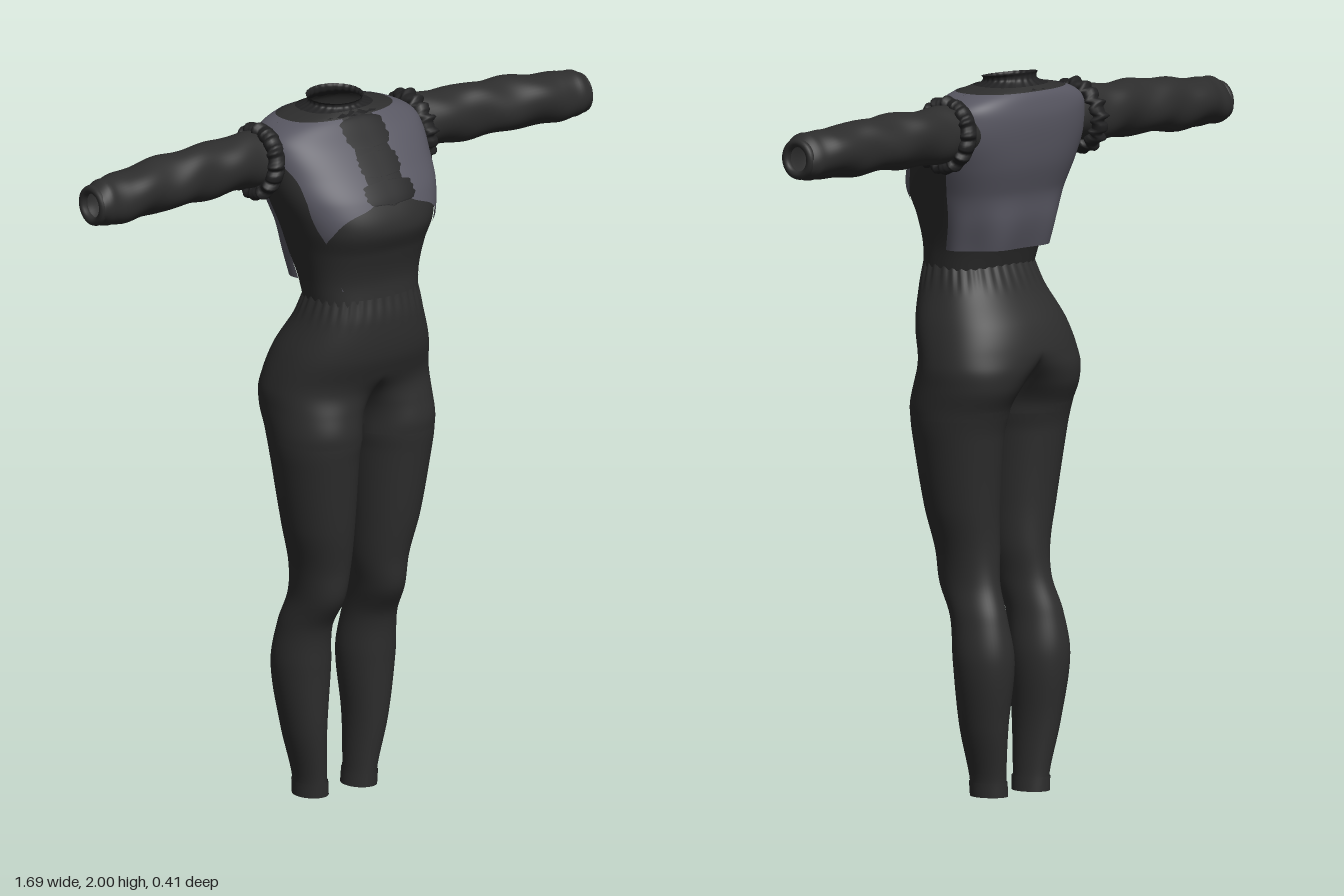
import * as THREE from 'three';
import { mergeVertices } from 'three/addons/utils/BufferGeometryUtils.js';

const fabric = (name, color) => {
  const m = new THREE.MeshStandardMaterial({ color, side: THREE.DoubleSide });
  m.name = name;
  return m;
};
const { sin, cos, abs, PI, sign, pow } = Math;
const TAU = PI * 2;
const smooth = THREE.MathUtils.smoothstep;

// Cubic interpolation through table rows of the form [key, ...values]
function sample(table, k) {
  const n = table.length - 1;
  let i = 0;
  while (i < n - 1 && k > table[i + 1][0]) i++;
  const a = table[i], b = table[i + 1], p = table[Math.max(i - 1, 0)], q = table[Math.min(i + 2, n)];
  const h = b[0] - a[0], s = THREE.MathUtils.clamp((k - a[0]) / h, 0, 1);
  return a.slice(1).map((v, j) => {
    const c = j + 1;
    const m0 = (b[c] - p[c]) / (b[0] - p[0]) * h, m1 = (q[c] - a[c]) / (q[0] - a[0]) * h;
    const s2 = s * s, s3 = s2 * s;
    return v * (2 * s3 - 3 * s2 + 1) + m0 * (s3 - 2 * s2 + s) + b[c] * (3 * s2 - 2 * s3) + m1 * (s3 - s2);
  });
}

// Surface from f(u, v) -> [x, y, z], with u and v in 0..1
function surface(nu, nv, f, keep = () => true) {
  const pos = [], idx = [];
  for (let j = 0; j <= nv; j++) for (let i = 0; i <= nu; i++) pos.push(...f(i / nu, j / nv));
  for (let j = 0; j < nv; j++) for (let i = 0; i < nu; i++) {
    const a = j * (nu + 1) + i, b = a + nu + 1;
    if (keep(pos[a * 3], pos[a * 3 + 1], pos[a * 3 + 2])) idx.push(a, b, a + 1, b, b + 1, a + 1);
  }
  let g = new THREE.BufferGeometry();
  g.setAttribute('position', new THREE.Float32BufferAttribute(pos, 3));
  g.setIndex(idx);
  g = mergeVertices(g, 1e-5);
  g.computeVertexNormals();
  return g;
}

// Bodice: y, half width, front z, back z, middle z
const TORSO = [
  [1.45, 0.163, 0.163, -0.075, 0.04], [1.52, 0.172, 0.16, -0.1, 0.03], [1.6, 0.192, 0.18, -0.135, 0.01],
  [1.67, 0.213, 0.205, -0.155, 0], [1.75, 0.238, 0.178, -0.18, -0.02], [1.82, 0.25, 0.13, -0.192, -0.05],
  [1.88, 0.25, 0.085, -0.196, -0.06], [1.92, 0.235, 0.05, -0.19, -0.07], [1.95, 0.18, 0.025, -0.178, -0.075],
  [1.965, 0.11, 0.005, -0.16, -0.075],
];
const N = 2.5;
function torsoPoint(t, y, off = 0) {
  const [hw, zf, zb, zc] = sample(TORSO, y), c = cos(t), s = sin(t);
  const x = hw * sign(c) * pow(abs(c), 2 / N);
  const z = zc + (s > 0 ? zf - zc : zc - zb) * sign(s) * pow(abs(s), 2 / N);
  return [x + off * c, y, z + off * s];
}
// Angle on the bodice front at which x is reached
const angleAtX = (x, y) => Math.acos(pow(Math.min(1, x / sample(TORSO, y)[0]), N / 2));
const outsideArmhole = (x, y, z) => abs(x) < 0.14 || Math.hypot(y - 1.85, z + 0.08) > 0.06;

// Vest front: y, x of the centre edge, angle of the side edge in degrees
const VEST = [
  [1.5, 0.125, 45], [1.56, 0.158, 41], [1.62, 0.18, 36], [1.68, 0.168, 28], [1.715, 0.135, 27], [1.74, 0.07, 28],
  [1.76, 0.052, 29], [1.82, 0.05, 28], [1.87, 0.05, 13], [1.91, 0.05, 0], [1.953, 0.05, 0],
];

// Hips: y, half width, front z, back z
const HIPS = [
  [1.04, 0.249, 0.14, -0.142], [1.08, 0.251, 0.143, -0.155], [1.14, 0.252, 0.138, -0.188], [1.2, 0.25, 0.136, -0.2],
  [1.3, 0.225, 0.168, -0.175], [1.4, 0.185, 0.175, -0.112], [1.47, 0.163, 0.165, -0.078],
];
function hipPoint(u, v) {
  const y = 1.05 + 0.42 * v, t = u * TAU;
  const [hw, zf, zb] = sample(HIPS, y);
  const x = hw * cos(t), d = (zf - zb) / 2;
  const whole = pow(1 - pow(abs(x / hw), 2.3), 1 / 2.3);
  const half = hw / 2;
  const split = Math.sqrt(Math.max(0, 1 - pow((abs(x) - half) / half, 2)));
  const k = smooth(y, 1.07, 1.24);
  const gather = 1 + 0.014 * smooth(y, 1.38, 1.46) * sin(t * 34);
  const h = (whole * k + split * (1 - k)) * d * gather;
  return [x * gather, y, (zf + zb) / 2 + sign(sin(t)) * (abs(sin(t)) < 1e-6 ? 0 : h)];
}

// Leg: y, inner x, outer x, front z, back z
const LEG = [
  [0.005, 0.04, 0.127, -0.02, -0.128], [0.06, 0.045, 0.13, -0.016, -0.13], [0.2, 0.048, 0.163, 0, -0.15],
  [0.38, 0.033, 0.19, 0.01, -0.17], [0.5, 0.043, 0.18, 0.025, -0.148], [0.59, 0.037, 0.17, 0.075, -0.117],
  [0.68, 0.023, 0.178, 0.088, -0.108], [0.8, 0.018, 0.208, 0.11, -0.112], [1, 0.01, 0.243, 0.135, -0.133],
  [1.04, 0.004, 0.248, 0.14, -0.142], [1.09, 0, 0.251, 0.142, -0.158],
];
const legPoint = (y0, y1, off) => (u, v) => {
  const y = y0 + (y1 - y0) * v, t = u * TAU;
  const [xi, xo, zf, zb] = sample(LEG, y);
  return [(xi + xo) / 2 + ((xo - xi) / 2 + off) * cos(t), y, (zf + zb) / 2 + ((zf - zb) / 2 + off) * sin(t)];
};

// Sleeve: x, middle y, half height, middle z, half depth
const SLEEVE = [
  [0.2, 1.85, 0.07, -0.085, 0.068], [0.3, 1.853, 0.077, -0.087, 0.07], [0.45, 1.853, 0.077, -0.082, 0.072],
  [0.6, 1.85, 0.074, -0.073, 0.075], [0.74, 1.845, 0.069, -0.064, 0.074], [0.785, 1.843, 0.062, -0.06, 0.069],
  [0.81, 1.842, 0.063, -0.058, 0.067], [0.835, 1.84, 0.052, -0.058, 0.056],
];

export function createModel() {
  const model = new THREE.Group();
  const cloth = fabric('black cloth', 0x2d2d2d);
  const trim = fabric('dark trim', 0x212122);
  const vest = fabric('grey vest cloth', 0x585762);
  const add = (name, geometry, material) => {
    const mesh = new THREE.Mesh(geometry, material);
    mesh.name = name;
    model.add(mesh);
    return mesh;
  };

  // Bodice and hips
  add('bodice', surface(120, 64, (u, v) => torsoPoint(u * TAU, 1.45 + 0.515 * v), outsideArmhole), cloth);
  add('hips', surface(160, 50, hipPoint), cloth);

  // Vest back, loose at its hem
  add('vestBack', surface(80, 60, (u, v) => {
    const y = 1.515 + 0.438 * v;
    const a = PI / 18 * (1 - smooth(y, 1.8, 1.91));
    const t = PI + a + (PI - 2 * a) * u;
    const loose = 1 - smooth(y, 1.5, 1.68);
    return torsoPoint(t, y, 0.006 + loose * (0.03 * abs(sin(t)) + 0.006 * sin(u * 22)));
  }, outsideArmhole), vest);

  for (const side of [1, -1]) {
    const word = side > 0 ? 'left' : 'right';
    const flip = (f) => (u, v) => {
      const [x, y, z] = f(side > 0 ? u : 1 - u, v);
      return [x * side, y, z];
    };

    // Vest front with a curved edge above the bib
    add(word + 'VestFront', surface(40, 80, flip((u, v) => {
      const y = 1.5 + 0.453 * v;
      const [x, deg] = sample(VEST, y);
      const t0 = Math.max(0, deg) * PI / 180, t1 = Math.max(t0, angleAtX(x, y));
      return torsoPoint(t0 + (t1 - t0) * u, y, 0.006);
    }), outsideArmhole), vest);

    // Legs with ankle bands
    add(word + 'Leg', surface(48, 80, flip(legPoint(0.005, 1.08, 0))), cloth);
    add(word + 'AnkleBand', surface(48, 4, flip(legPoint(0.005, 0.045, 0.003))), cloth);

    // Sleeve with soft folds; the right one hangs a little lower and further back
    const sag = (x) => (side > 0 ? 0 : smooth(x, 0.3, 0.8));
    add(word + 'Sleeve', surface(48, 80, flip((u, v) => {
      const x = 0.2 + 0.635 * v, t = -u * TAU;
      const [yc, ry, zc, rz] = sample(SLEEVE, x);
      const fold = 0.003 * sin(x * 38 + 2 * t) + 0.002 * sin(x * 23 - 3 * t);
      return [x, yc - 0.01 * sag(x) + (ry + fold) * sin(t), zc - 0.018 * sag(x) + (rz + fold) * cos(t)];
    })), cloth);

    // Rolled cuff edge
    const cuff = add(word + 'Cuff', new THREE.TorusGeometry(0.045, 0.012, 10, 40), cloth);
    cuff.rotation.y = PI / 2;
    cuff.position.set(side * 0.832, 1.84 - 0.01 * sag(0.83), -0.058 - 0.018 * sag(0.83));

    // Gathered ruffle around the armhole
    add(word + 'ShoulderRuffle', surface(120, 14, flip((u, v) => {
      const a = -u * TAU, b = v * TAU;
      const wave = sin(a * 17) + 0.5 * sin(a * 29);
      const r = 0.084 + 0.004 * wave + 0.02 * cos(b);
      return [0.262 + 0.026 * sin(b) + 0.005 * wave - 0.01 * sin(a), 1.848 + r * sin(a), -0.078 + r * cos(a)];
    })), trim);
  }

  // Dark front strip between the vest edges
  const frontPlate = (name, y0, y1, width, off) => add(name, surface(24, 20, (u, v) => {
    const y = y0 + (y1 - y0) * v;
    const x = width * pow(1 - pow(abs(2 * v - 1), 6), 0.5) + 0.003 * sin(v * 25);
    const a = PI / 2 - angleAtX(Math.max(x, 0.001), y);
    return torsoPoint(PI / 2 + a * (2 * u - 1), y, off);
  }), trim);
  frontPlate('frontStrip', 1.735, 1.962, 0.056, 0.007);
  [[1.742, 1.802, 0.078], [1.81, 1.872, 0.064], [1.88, 1.956, 0.068]].forEach(([a, b, w], i) =>
    frontPlate('frontBow' + (i + 1), a, b, w, 0.013));

  // Ruffled collar, higher at the back: height share, half width, half depth
  const COLLAR = [[0, 0.15, 0.1], [0.2, 0.118, 0.085], [0.5, 0.083, 0.07], [0.8, 0.078, 0.067], [1, 0.084, 0.07]];
  add('collar', surface(120, 20, (u, v) => {
    const t = u * TAU, [rx, rz] = sample(COLLAR, v);
    const k = 1 + 0.03 * sin(t * 24) * (1 - 0.6 * v);
    const y = 1.955 + 0.037 * v - 0.008 * v * sin(t);
    return [rx * k * cos(t), y, -0.073 + rz * k * sin(t)];
  }), trim);

  return model;
}
